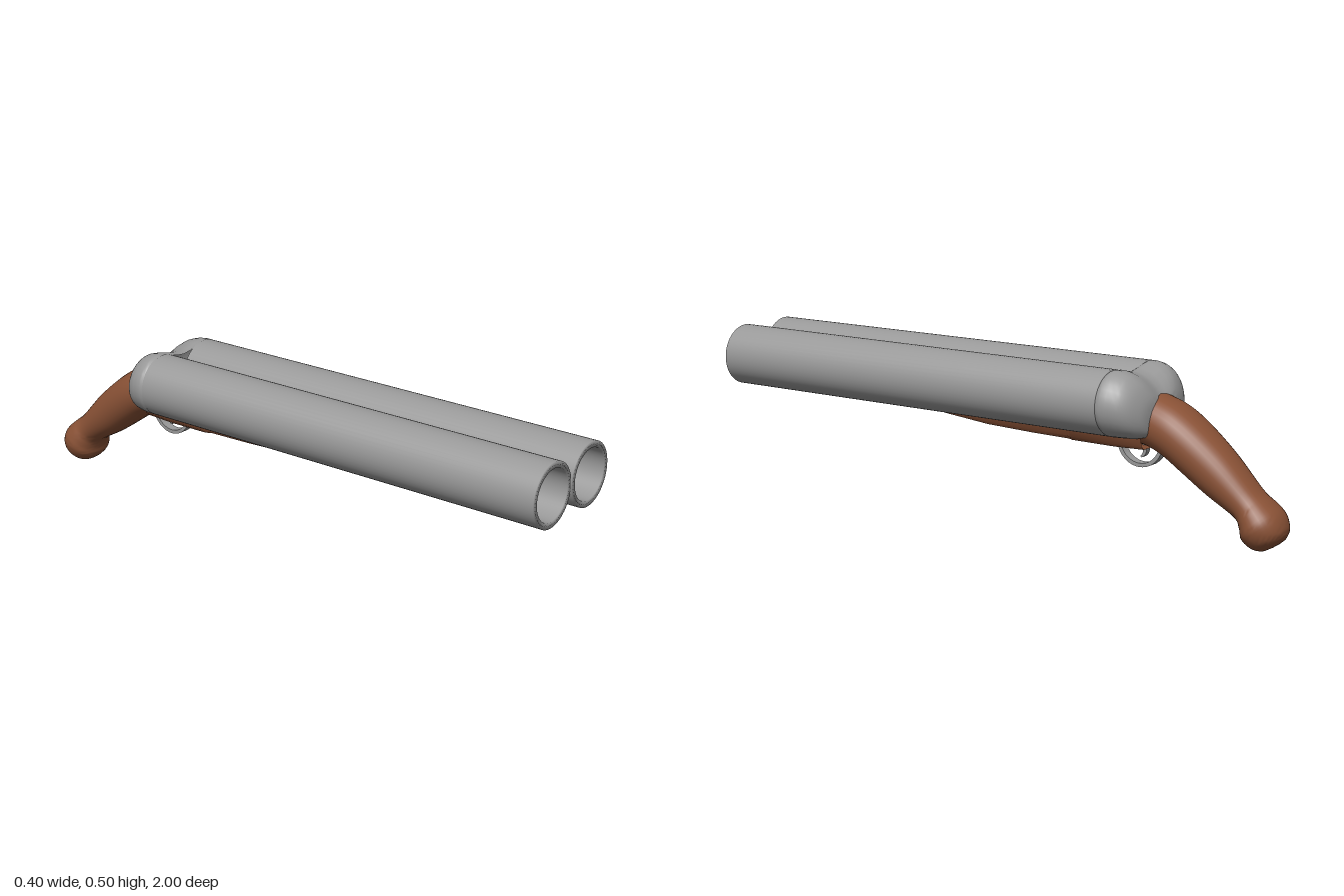
import * as THREE from 'three';
import { toCreasedNormals } from 'three/addons/utils/BufferGeometryUtils.js';

const metal = new THREE.MeshStandardMaterial({ color: 0x999999, side: THREE.DoubleSide });
const wood = new THREE.MeshStandardMaterial({ color: 0x8a5236, side: THREE.DoubleSide });

// Skin over closed rings (counter-clockwise seen from +z, running towards -z)
function loft(rings, capFront, capBack) {
  const n = rings[0].length, pos = [], idx = [];
  rings.forEach(r => r.forEach(p => pos.push(...p)));
  for (let i = 0; i < rings.length - 1; i++) {
    for (let j = 0; j < n; j++) {
      const k = (j + 1) % n;
      const a = i * n + j, b = i * n + k, c = a + n, d = b + n;
      idx.push(a, c, b, b, c, d);
    }
  }
  const cap = (i, back) => {
    const centre = pos.length / 3;
    pos.push(...[0, 1, 2].map(q => rings[i].reduce((s, p) => s + p[q], 0) / n));
    for (let j = 0; j < n; j++) {
      const a = i * n + j, b = i * n + (j + 1) % n;
      idx.push(centre, back ? b : a, back ? a : b);
    }
  };
  if (capFront) cap(0, false);
  if (capBack) cap(rings.length - 1, true);
  const g = new THREE.BufferGeometry();
  g.setAttribute('position', new THREE.Float32BufferAttribute(pos, 3));
  g.setIndex(idx);
  return toCreasedNormals(g, 0.7);
}

// Smooth interpolation of rows of numbers
function smoothRows(rows, steps) {
  const cols = rows[0].map((_, c) => {
    const pts = rows.map((r, i) => new THREE.Vector3(i, r[c], 0));
    return new THREE.CatmullRomCurve3(pts, false, 'catmullrom', 0.5);
  });
  return Array.from({ length: steps + 1 }, (_, i) => cols.map(c => c.getPoint(i / steps).y));
}

// Twin-lobed outline, x and y both within -1..1, with a valley between the lobes
function lobedOutline(valley) {
  const right = [];
  for (let i = 0; i <= 16; i++) {
    const a = -Math.PI / 2 + Math.PI * i / 16;
    right.push([0.5 + 0.5 * Math.cos(a), Math.sin(a)]);
  }
  for (let i = 1; i < 6; i++) {
    const x = 0.5 - i / 6;
    right.push([x, 1 - valley * (1 + Math.cos(2 * Math.PI * x)) / 2]);
  }
  return right.concat(right.map(([x, y]) => [-x, -y]));
}

// Open tube whose shading rolls softly over both rims
function barrel(side) {
  const profile = [
    [0.09, -0.466], [0.1, -0.466], [0.1, 1], [0.08, 1], [0.08, -0.466], [0.09, -0.466],
  ].map(p => new THREE.Vector2(...p));
  const g = new THREE.LatheGeometry(profile, 48);
  g.rotateX(Math.PI / 2);
  const m = new THREE.Mesh(g, metal);
  m.position.set(side * 0.1, 0.4, 0);
  m.name = side > 0 ? 'leftBarrel' : 'rightBarrel';
  return m;
}

// Hollow rounded housing: z, half width, top, bottom, valley depth
function receiver() {
  const rows = [
    [-0.464, 0.195, 0.495, 0.305, 0.18], [-0.475, 0.2, 0.5, 0.3, 0.18],
    [-0.5, 0.197, 0.498, 0.3, 0.19], [-0.53, 0.186, 0.488, 0.3, 0.23],
    [-0.555, 0.167, 0.469, 0.301, 0.27], [-0.573, 0.142, 0.446, 0.304, 0.28],
    [-0.586, 0.112, 0.42, 0.31, 0.26], [-0.592, 0.07, 0.395, 0.325, 0.2],
  ];
  const rings = smoothRows(rows, 21).map(([z, w, t, b, valley]) =>
    lobedOutline(valley).map(([x, y]) => [x * w, (t + b) / 2 + y * (t - b) / 2, z]));
  return new THREE.Mesh(loft(rings, false, true), metal);
}

// Curved hollow grip with knob: top z, top y, bottom z, bottom y, half width
function grip() {
  const rows = [
    [-0.54, 0.434, -0.5, 0.27, 0.088], [-0.6, 0.417, -0.55, 0.265, 0.092],
    [-0.66, 0.392, -0.61, 0.24, 0.094], [-0.73, 0.345, -0.67, 0.2, 0.09],
    [-0.82, 0.268, -0.755, 0.142, 0.08], [-0.905, 0.178, -0.845, 0.09, 0.07],
    [-0.945, 0.146, -0.865, 0.06, 0.08], [-0.98, 0.115, -0.872, 0.03, 0.086],
    [-0.998, 0.075, -0.9, 0.006, 0.07], [-0.993, 0.045, -0.93, 0.001, 0.042],
    [-0.978, 0.028, -0.955, 0.012, 0.015],
  ];
  const rings = smoothRows(rows, 50).map(([tz, ty, bz, by, w]) =>
    Array.from({ length: 32 }, (_, j) => {
      const a = j / 32 * Math.PI * 2, s = Math.sin(a), c = Math.cos(a);
      const x = Math.sign(c) * Math.abs(c) ** 0.85, f = (1 + s) / 2;
      return [w * x, by + (ty - by) * f, bz + (tz - bz) * f];
    }));
  return new THREE.Mesh(loft(rings, false, true), wood);
}

// Fore stock nested between the barrels: z, half width, bottom
function foreStock() {
  const rows = [
    [0.43, 0.028, 0.301], [0.32, 0.045, 0.292], [0.18, 0.06, 0.28], [0.02, 0.073, 0.268],
    [-0.15, 0.08, 0.264], [-0.29, 0.085, 0.263], [-0.31, 0.098, 0.263],
    [-0.46, 0.098, 0.262], [-0.56, 0.092, 0.264],
  ];
  const rings = rows.map(([z, w, b]) => {
    const ring = [];
    for (let i = 0; i <= 12; i++) {
      const x = w * (1 - i / 6);
      const d = 0.1 - Math.max(Math.abs(x), 0.02);
      ring.push([x, 0.4 - Math.sqrt(0.0081 - d * d), z]);
    }
    const lip = Math.min(0.012, (0.31 - b) * 0.4);
    ring.push([-w * 0.9, b + lip, z], [-w * 0.75, b, z], [w * 0.75, b, z], [w * 0.9, b + lip, z]);
    return ring;
  });
  return new THREE.Mesh(loft(rings, true, false), wood);
}

// Flat side-view shape (drawn in z, y) given a width along x
function sidePlate(shape, width) {
  const g = new THREE.ExtrudeGeometry(shape, { depth: width, bevelEnabled: false, curveSegments: 20 });
  g.translate(0, 0, -width / 2);
  g.rotateY(-Math.PI / 2);
  return new THREE.Mesh(toCreasedNormals(g, 0.7), metal);
}

function triggerGuard() {
  const s = new THREE.Shape();
  s.absarc(-0.512, 0.274, 0.079, Math.PI, Math.PI * 2, false);
  s.absarc(-0.512, 0.274, 0.067, Math.PI * 2, Math.PI, true);
  return sidePlate(s, 0.03);
}

function trigger() {
  const s = new THREE.Shape();
  s.moveTo(-0.515, 0.275);
  s.quadraticCurveTo(-0.53, 0.245, -0.512, 0.228);
  s.lineTo(-0.516, 0.224);
  s.quadraticCurveTo(-0.54, 0.235, -0.532, 0.275);
  return sidePlate(s, 0.02);
}

export function createModel() {
  const model = new THREE.Group();
  model.name = 'doubleBarrelGun';
  model.add(barrel(1), barrel(-1));
  const parts = { receiver, grip, foreStock, triggerGuard, trigger };
  for (const [name, make] of Object.entries(parts)) {
    const mesh = make();
    mesh.name = name;
    model.add(mesh);
  }
  return model;
}
